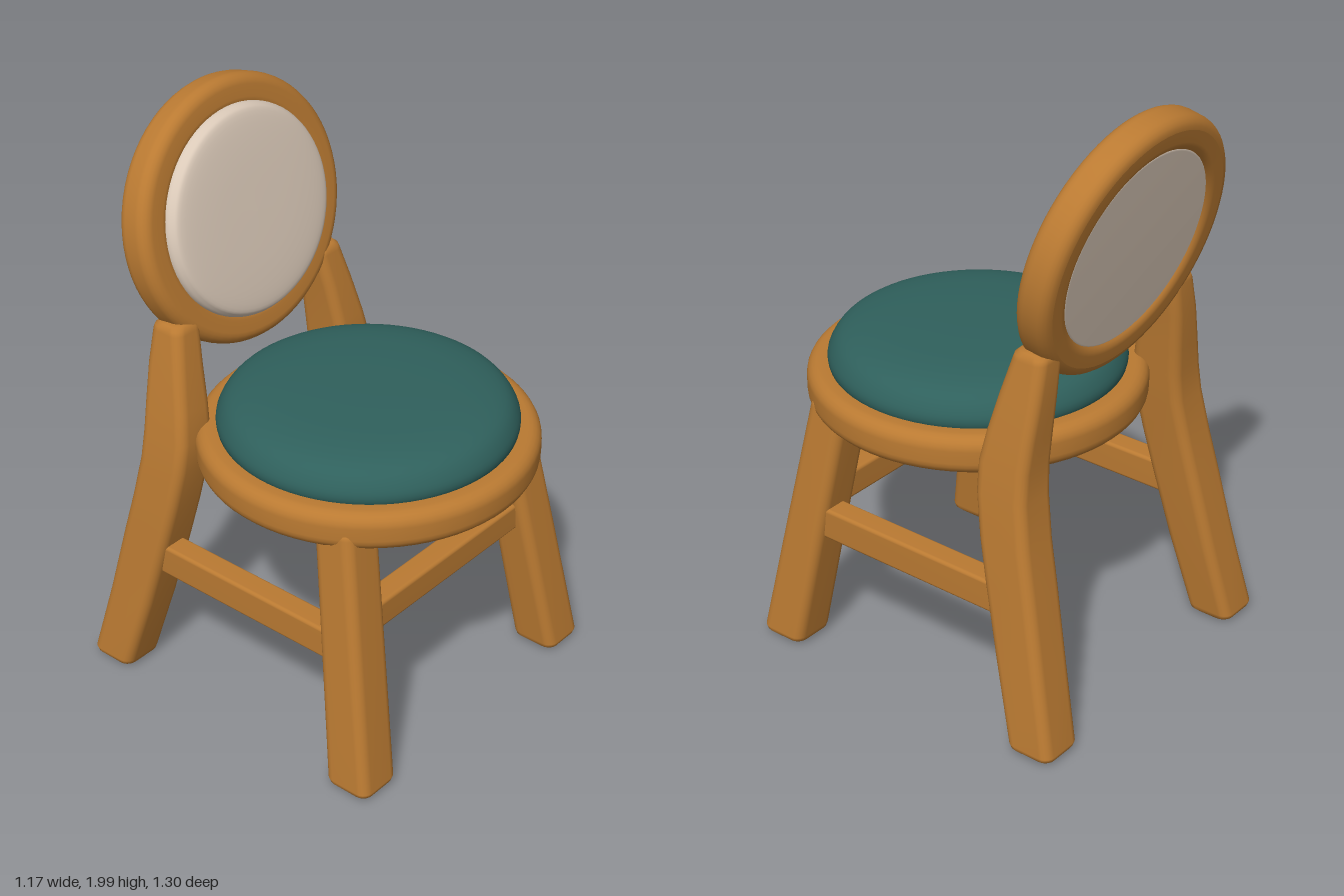
import * as THREE from 'three';

// Closed counter-clockwise outline of a rounded rectangle
function roundedRect(x0, x1, y0, y1, c, steps = 5) {
  const pts = [];
  [[x1 - c, y0 + c], [x1 - c, y1 - c], [x0 + c, y1 - c], [x0 + c, y0 + c]].forEach(([cx, cy], k) => {
    for (let i = 0; i <= steps; i++) {
      const a = (k - 1 + i / steps) * Math.PI / 2;
      pts.push(new THREE.Vector2(cx + c * Math.cos(a), cy + c * Math.sin(a)));
    }
  });
  return pts;
}

// Upright bar lofted through sections [y, x, z, width, depth], with rounded ends
function loftBar(sections, c = 0.035) {
  const rings = [];
  const bevel = (s, dir) => [0, 30, 60, 90].map((deg) => {
    const a = deg * Math.PI / 180, inset = 0.03 * (1 - Math.cos(a));
    const y = s[0] + dir * 0.03 * (Math.sin(a) - 1);
    return [y, s[1], s[2], s[3] - 2 * inset, s[4] - 2 * inset];
  });
  rings.push(...bevel(sections[0], -1).reverse(), ...sections.slice(1, -1), ...bevel(sections.at(-1), 1));
  const pos = [], idx = [];
  let n = 0;
  for (const [y, x, z, w, d] of rings) {
    const outline = roundedRect(-w / 2, w / 2, -d / 2, d / 2, c);
    n = outline.length;
    outline.forEach((p) => pos.push(x + p.x, y, z - p.y));
  }
  for (let r = 0; r < rings.length - 1; r++) {
    for (let i = 0; i < n; i++) {
      const a = r * n + i, b = r * n + (i + 1) % n;
      idx.push(a, b, b + n, a, b + n, a + n);
    }
  }
  // End caps
  [0, rings.length - 1].forEach((r) => {
    const [y, x, z] = rings[r], centre = pos.length / 3;
    pos.push(x, y, z);
    for (let i = 0; i < n; i++) {
      const a = r * n + i, b = r * n + (i + 1) % n;
      idx.push(...(r === 0 ? [centre, b, a] : [centre, a, b]));
    }
  });
  const geo = new THREE.BufferGeometry();
  geo.setAttribute('position', new THREE.Float32BufferAttribute(pos, 3));
  geo.setIndex(idx);
  geo.computeVertexNormals();
  return geo;
}

// Ring with a rounded rectangular section
function ringGeometry(r0, r1, y0, y1, c) {
  const pts = roundedRect(r0, r1, y0, y1, c);
  pts.push(pts[0].clone());
  return new THREE.LatheGeometry(pts, 72);
}

// Cushion with a flat underside at y0 and a soft dome through the given points
function cushionGeometry(rBase, y0, dome) {
  const curve = new THREE.SplineCurve(dome.map(([x, y]) => new THREE.Vector2(x, y)));
  const pts = [[0, y0], [rBase - 0.01, y0], [rBase, y0 + 0.005]].map(([x, y]) => new THREE.Vector2(x, y));
  const top = curve.getPoints(24);
  top.at(-1).x = 0;
  return new THREE.LatheGeometry([...pts, ...top], 72);
}

export function createModel() {
  const wood = new THREE.MeshStandardMaterial({ name: 'warm wood', color: 0xba7a32 });
  const teal = new THREE.MeshStandardMaterial({ name: 'teal fabric', color: 0x2f605c });
  const cream = new THREE.MeshStandardMaterial({ name: 'cream fabric', color: 0xdac9b8 });

  const model = new THREE.Group();
  model.name = 'chair';
  const add = (parent, name, geo, mat) => {
    const mesh = new THREE.Mesh(geo, mat);
    mesh.name = name;
    parent.add(mesh);
    return mesh;
  };

  // Round seat: wooden rim and domed cushion
  const seat = new THREE.Group();
  seat.name = 'seat';
  seat.position.z = 0.09;
  model.add(seat);
  add(seat, 'seatRim', ringGeometry(0.44, 0.56, 0.857, 0.99, 0.045), wood);
  add(seat, 'seatCushion', cushionGeometry(0.455, 0.875,
    [[0.455, 0.95], [0.488, 0.99], [0.484, 1.035], [0.44, 1.085], [0.34, 1.112], [0.18, 1.122], [0, 1.124]]), teal);

  // Tilted round backrest
  const back = new THREE.Group();
  back.name = 'backrest';
  back.position.set(0, 1.563, -0.477);
  back.rotation.x = Math.PI / 2 - 0.218;
  back.scale.z = 0.957;
  model.add(back);
  add(back, 'backRim', ringGeometry(0.335, 0.457, -0.063, 0.06, 0.04), wood);
  add(back, 'backCushion', cushionGeometry(0.35, -0.053,
    [[0.35, 0.03], [0.362, 0.055], [0.355, 0.08], [0.325, 0.098], [0.2, 0.106], [0, 0.108]]), cream);

  // Legs and side stretchers, mirrored
  for (const s of [1, -1]) {
    const side = s > 0 ? 'left' : 'right';
    add(model, side + 'FrontLeg', loftBar([
      [0.01, s * 0.502, 0.482, 0.165, 0.17],
      [0.45, s * 0.455, 0.413, 0.162, 0.16],
      [0.93, s * 0.403, 0.336, 0.158, 0.15],
    ]), wood);
    add(model, side + 'BackLeg', loftBar([
      [0.01, s * 0.502, -0.57, 0.165, 0.17],
      [0.3, s * 0.472, -0.502, 0.165, 0.18],
      [0.55, s * 0.447, -0.443, 0.165, 0.187],
      [0.7, s * 0.432, -0.408, 0.163, 0.188],
      [0.85, s * 0.414, -0.381, 0.162, 0.188],
      [0.95, s * 0.402, -0.377, 0.155, 0.187],
      [1.05, s * 0.388, -0.387, 0.145, 0.175],
      [1.18, s * 0.368, -0.404, 0.13, 0.153],
      [1.325, s * 0.346, -0.417, 0.12, 0.125],
    ]), wood);
    const bar = add(model, side + 'Stretcher', loftBar([
      [-0.4, 0, 0, 0.085, 0.112], [0.4, 0, 0, 0.085, 0.112],
    ], 0.012), wood);
    bar.rotation.x = Math.PI / 2;
    bar.position.set(s * 0.463, 0.492, -0.02);
  }

  // Front stretcher
  const front = add(model, 'frontStretcher', loftBar([
    [-0.42, 0, 0, 0.1, 0.085], [0.42, 0, 0, 0.1, 0.085],
  ], 0.012), wood);
  front.rotation.z = Math.PI / 2;
  front.position.set(0, 0.56, 0.39);

  return model;
}
